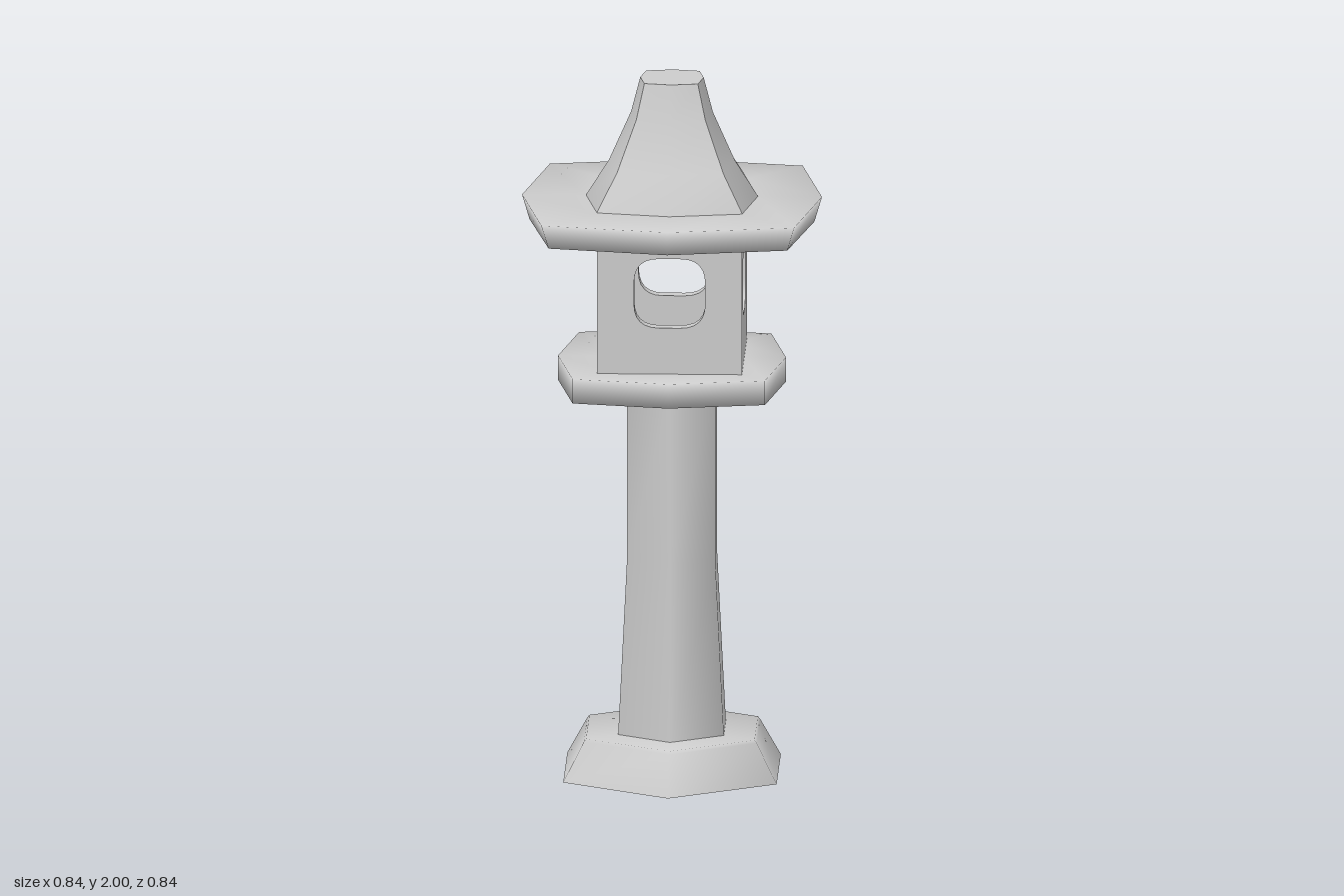
import * as THREE from 'three';
import { toCreasedNormals } from 'three/addons/utils/BufferGeometryUtils.js';

const material = new THREE.MeshStandardMaterial({ color: 0xcccccc });

// Six-sided ring with corners on the z axis
const hexRing = (r, y) => Array.from({ length: 6 }, (_, i) => {
  const a = (i * Math.PI) / 3;
  return [r * Math.sin(a), y, r * Math.cos(a)];
});

// Square ring whose sides bow out: m = reach of side middles, c = reach of corners
const bowedRing = (m, c, y) => [
  [0, y, m], [c, y, c], [m, y, 0], [c, y, -c],
  [0, y, -m], [-c, y, -c], [-m, y, 0], [-c, y, c],
];

// Closed solid through rings listed from the bottom up; crease 0 keeps it fully smooth
function loft(name, rings, crease = 0) {
  const n = rings[0].length;
  const last = (rings.length - 1) * n;
  const points = rings.flat();
  const bottom = points.length;
  const top = bottom + 1;
  points.push([0, rings[0][0][1], 0], [0, rings[rings.length - 1][0][1], 0]);
  const index = [];
  for (let i = 0; i < n; i++) {
    const j = (i + 1) % n;
    for (let k = 0; k < last; k += n) {
      index.push(k + i, k + j, k + n + j, k + i, k + n + j, k + n + i);
    }
    index.push(bottom, j, i, top, last + i, last + j);
  }
  let geometry = new THREE.BufferGeometry();
  geometry.setAttribute('position', new THREE.Float32BufferAttribute(points.flat(), 3));
  geometry.setIndex(index);
  geometry.computeVertexNormals();
  if (crease) geometry = toCreasedNormals(geometry, THREE.MathUtils.degToRad(crease));
  const mesh = new THREE.Mesh(geometry, material);
  mesh.name = name;
  return mesh;
}

// Rounded window opening, half-size h around height cy
function windowHole(h, r, cy) {
  const p = new THREE.Path();
  p.moveTo(-h + r, cy - h);
  p.lineTo(h - r, cy - h);
  p.quadraticCurveTo(h, cy - h, h, cy - h + r);
  p.lineTo(h, cy + h - r);
  p.quadraticCurveTo(h, cy + h, h - r, cy + h);
  p.lineTo(-h + r, cy + h);
  p.quadraticCurveTo(-h, cy + h, -h, cy + h - r);
  p.lineTo(-h, cy - h + r);
  p.quadraticCurveTo(-h, cy - h, -h + r, cy - h);
  return p;
}

// Four pierced walls around the hollow light chamber
function lightChamber() {
  const group = new THREE.Group();
  group.name = 'lightChamber';
  const half = 0.203, wall = 0.035, y0 = 1.185, y1 = 1.59;
  ['frontWall', 'leftWall', 'backWall', 'rightWall'].forEach((name, i) => {
    const w = i % 2 ? half - wall : half;
    const shape = new THREE.Shape([
      new THREE.Vector2(-w, y0), new THREE.Vector2(w, y0),
      new THREE.Vector2(w, y1), new THREE.Vector2(-w, y1),
    ]);
    shape.holes.push(windowHole(0.1, 0.07, 1.425));
    let geometry = new THREE.ExtrudeGeometry(shape, { depth: wall, bevelEnabled: false, curveSegments: 6 });
    geometry.translate(0, 0, half - wall);
    geometry = toCreasedNormals(geometry, 0.6);
    const mesh = new THREE.Mesh(geometry, material);
    mesh.name = name;
    mesh.rotation.y = (i * Math.PI) / 2;
    group.add(mesh);
  });
  return group;
}

export function createModel() {
  const model = new THREE.Group();
  model.name = 'stoneLantern';

  model.add(
    loft('base', [hexRing(0.346, 0), hexRing(0.28, 0.11), hexRing(0.273, 0.118)], 58),
    loft('column', [hexRing(0.175, 0.01), hexRing(0.171, 0.12), hexRing(0.143, 0.62), hexRing(0.143, 1.12)], 61),
    loft('platform', [
      bowedRing(0.12, 0.1, 1.098), bowedRing(0.32, 0.27, 1.122),
      bowedRing(0.32, 0.27, 1.192), bowedRing(0.2, 0.17, 1.192),
    ]),
    lightChamber(),
    loft('eaves', [
      bowedRing(0.25, 0.21, 1.586), bowedRing(0.4, 0.335, 1.586),
      bowedRing(0.421, 0.355, 1.657), bowedRing(0.243, 0.205, 1.657),
    ]),
    // Concave roof cap, sharp along its four hips
    loft('roofCap', [
      bowedRing(0.243, 0.205, 1.65), bowedRing(0.24, 0.203, 1.66), bowedRing(0.177, 0.149, 1.76),
      bowedRing(0.115, 0.097, 1.9), bowedRing(0.089, 0.075, 2),
    ], 40),
  );
  return model;
}
